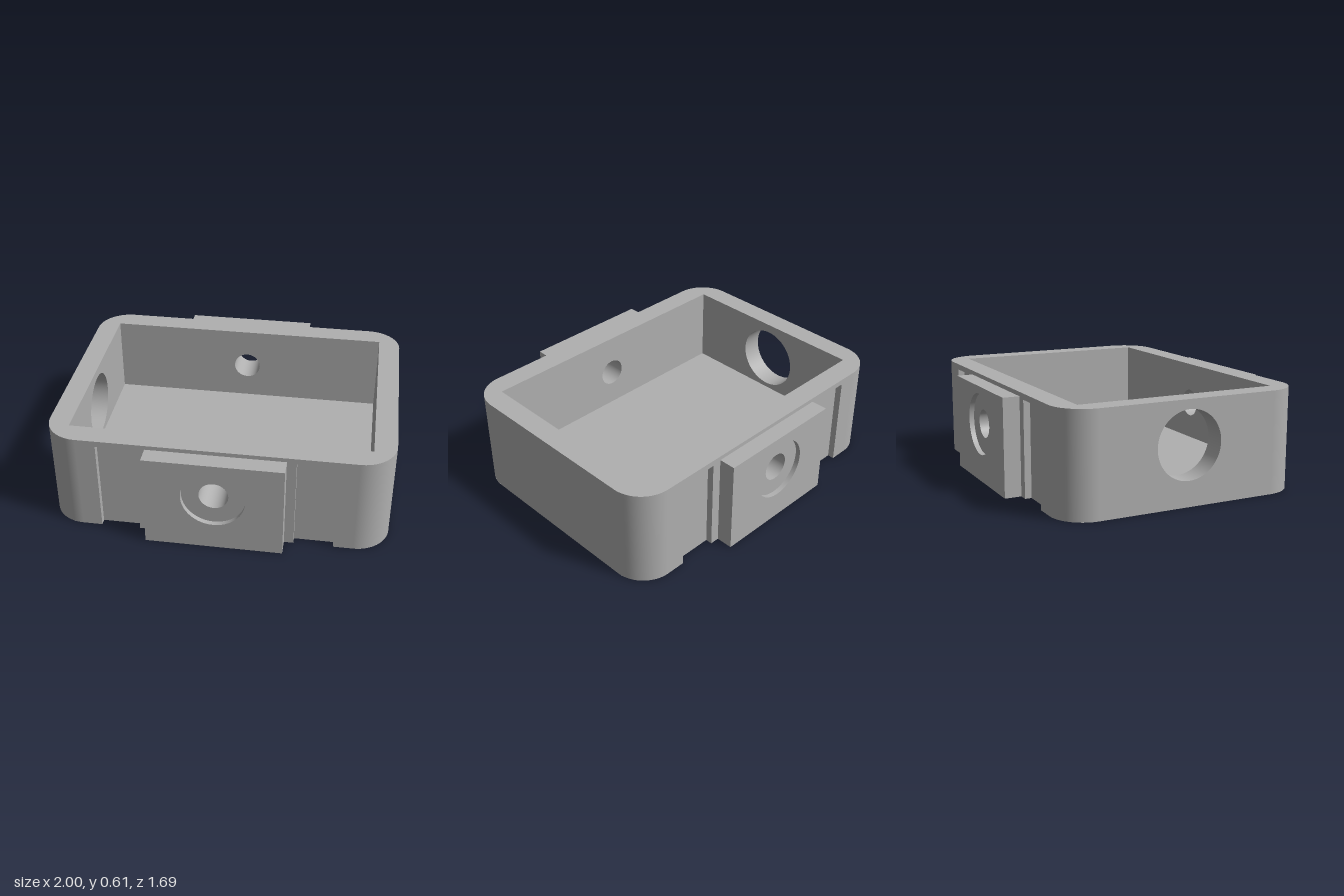
import * as THREE from 'three';

const W = 1, D = 0.745, H = 0.605, R = 0.2;         // outer half width, half depth, height, corner radius
const CW = 0.87, CD = 0.61, FLOOR = 0.12;           // cavity half sizes and floor level
const PAD_W = 0.4, PAD_H = 0.58, PAD_Z = 0.845;     // raised mounting pad
const S0 = 0.455, S1 = 0.685, SLOT_H = 0.57, SLOT_Z = 0.705; // recessed slots
const HOLE_Y = 0.35, BORE_R = 0.085, COUNTER_R = 0.185, COUNTER_Z = 0.815, PORT_R = 0.2;

const grey = new THREE.MeshStandardMaterial({ color: 0xb0b0b0, side: THREE.DoubleSide });
grey.name = 'grey';

function add(parent, name, geometry) {
  const mesh = new THREE.Mesh(geometry, grey);
  mesh.name = name;
  parent.add(mesh);
  return mesh;
}

function polygon(points) {
  return new THREE.Shape(points.map(([x, y]) => new THREE.Vector2(x, y)));
}

const rect = (x0, y0, x1, y1) => polygon([[x0, y0], [x1, y0], [x1, y1], [x0, y1]]);

function withHole(shape, radius) {
  const hole = new THREE.Path();
  hole.absarc(0, HOLE_Y, radius, 0, Math.PI * 2, true);
  shape.holes.push(hole);
  return shape;
}

// Upright sheet in the xy plane at depth z
const sheet = (shape, z) => new THREE.ShapeGeometry(shape, 32).translate(0, 0, z);

// Open tube along z around the hole centre
const tube = (r, z0, z1) => new THREE.CylinderGeometry(r, r, z1 - z0, 64, 1, true)
  .rotateX(Math.PI / 2).translate(0, HOLE_Y, (z0 + z1) / 2);

// Horizontal sheet from a plan shape (plan y becomes -z)
const level = (shape, y) => new THREE.ShapeGeometry(shape, 16).rotateX(-Math.PI / 2).translate(0, y, 0);

// Plan outline with rounded corners, optionally notched by the slots
function outline(notched) {
  const s = new THREE.Shape();
  const side = (sign) => {
    for (const [a, b] of [[-S1, -S0], [S0, S1]]) {
      s.lineTo(sign * a, -sign * D);
      s.lineTo(sign * a, -sign * SLOT_Z);
      s.lineTo(sign * b, -sign * SLOT_Z);
      s.lineTo(sign * b, -sign * D);
    }
  };
  s.moveTo(-W + R, -D);
  if (notched) side(1);
  s.lineTo(W - R, -D);
  s.absarc(W - R, -D + R, R, -Math.PI / 2, 0);
  s.absarc(W - R, D - R, R, 0, Math.PI / 2);
  if (notched) side(-1);
  s.lineTo(-W + R, D);
  s.absarc(-W + R, D - R, R, Math.PI / 2, Math.PI);
  s.absarc(-W + R, -D + R, R, Math.PI, Math.PI * 1.5);
  return s;
}

// Long wall with slots, pad and counterbored hole
function longWall(name) {
  const g = new THREE.Group();
  g.name = name;
  const e = W - R;
  add(g, 'outerFace', sheet(polygon([
    [-e, 0], [-S1, 0], [-S1, SLOT_H], [-S0, SLOT_H], [-S0, 0],
    [-PAD_W, 0], [-PAD_W, PAD_H], [PAD_W, PAD_H], [PAD_W, 0],
    [S0, 0], [S0, SLOT_H], [S1, SLOT_H], [S1, 0], [e, 0], [e, H], [-e, H],
  ]), D));
  add(g, 'innerFace', sheet(withHole(rect(-CW, FLOOR, CW, H), BORE_R), CD));

  // Slot pockets, open at the bottom
  const depth = D - SLOT_Z, midZ = (D + SLOT_Z) / 2;
  for (const s of [-1, 1]) {
    const mid = s * (S0 + S1) / 2;
    add(g, 'slotBack', new THREE.PlaneGeometry(S1 - S0, SLOT_H).translate(mid, SLOT_H / 2, SLOT_Z));
    add(g, 'slotTop', new THREE.PlaneGeometry(S1 - S0, depth).rotateX(Math.PI / 2).translate(mid, SLOT_H, midZ));
    for (const [x, turn] of [[S0, 1], [S1, -1]]) {
      add(g, 'slotSide', new THREE.PlaneGeometry(depth, SLOT_H)
        .rotateY(s * turn * Math.PI / 2).translate(s * x, SLOT_H / 2, midZ));
    }
  }

  // Raised pad
  const padDepth = PAD_Z - D, padMid = (PAD_Z + D) / 2;
  add(g, 'padFace', sheet(withHole(rect(-PAD_W, 0, PAD_W, PAD_H), COUNTER_R), PAD_Z));
  for (const s of [-1, 1]) {
    add(g, 'padSide', new THREE.PlaneGeometry(padDepth, PAD_H)
      .rotateY(s * Math.PI / 2).translate(s * PAD_W, PAD_H / 2, padMid));
    add(g, 'padEdge', new THREE.PlaneGeometry(PAD_W * 2, padDepth)
      .rotateX(-s * Math.PI / 2).translate(0, s > 0 ? PAD_H : 0, padMid));
  }

  // Counterbore and through hole
  add(g, 'counterboreWall', tube(COUNTER_R, COUNTER_Z, PAD_Z));
  add(g, 'counterboreSeat', new THREE.RingGeometry(BORE_R, COUNTER_R, 64).translate(0, HOLE_Y, COUNTER_Z));
  add(g, 'throughHole', tube(BORE_R, CD, COUNTER_Z));
  return g;
}

// Short wall, optionally with a large round port
function shortWall(name, hasPort) {
  const g = new THREE.Group();
  g.name = name;
  const outer = rect(-D + R, 0, D - R, H), inner = rect(-CD, FLOOR, CD, H);
  if (hasPort) {
    withHole(outer, PORT_R);
    withHole(inner, PORT_R);
    add(g, 'portWall', tube(PORT_R, CW, W));
  }
  add(g, 'outerFace', sheet(outer, W));
  add(g, 'innerFace', sheet(inner, CW));
  return g;
}

export function createModel() {
  const model = new THREE.Group();
  model.name = 'housing';

  // Base, cavity floor and rim
  add(model, 'base', level(outline(true), 0));
  add(model, 'cavityFloor', level(rect(-CW, -CD, CW, CD), FLOOR));
  const rim = outline(false);
  rim.holes.push(rect(-CW, -CD, CW, CD));
  add(model, 'rim', level(rim, H));

  // Rounded corners
  for (const [sx, sz, start] of [[1, 1, 0], [1, -1, 1], [-1, -1, 2], [-1, 1, 3]]) {
    add(model, 'corner', new THREE.CylinderGeometry(R, R, H, 16, 1, true, start * Math.PI / 2, Math.PI / 2)
      .translate(sx * (W - R), H / 2, sz * (D - R)));
  }

  // Walls
  const front = longWall('frontWall');
  const back = longWall('backWall');
  back.rotation.y = Math.PI;
  const left = shortWall('leftWall', false);
  left.rotation.y = Math.PI / 2;
  const right = shortWall('rightWall', true);
  right.rotation.y = -Math.PI / 2;
  model.add(front, back, left, right);
  return model;
}
